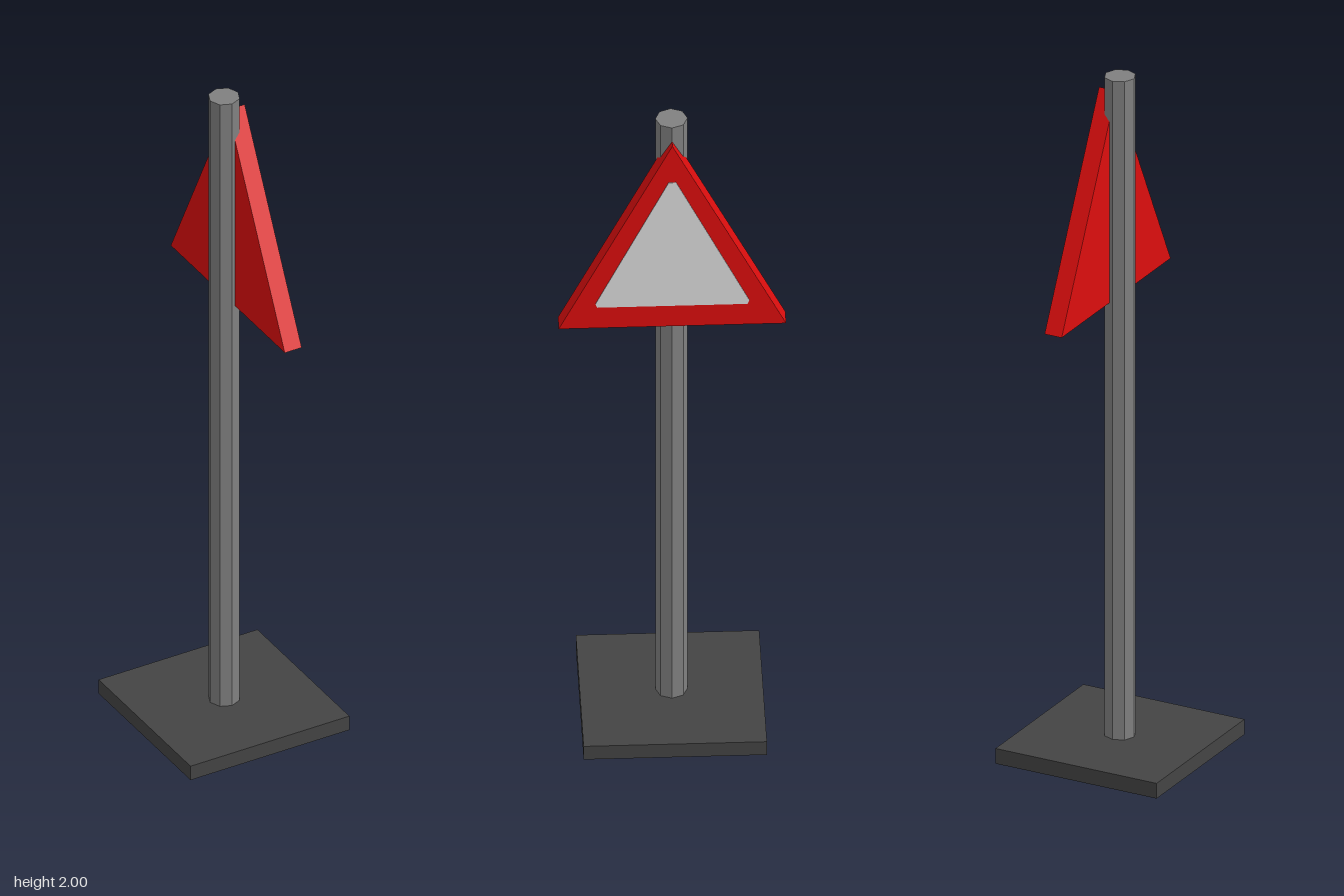
import * as THREE from 'three';

const material = (name, color) => {
  const m = new THREE.MeshStandardMaterial({ color });
  m.name = name;
  return m;
};

// Upright plate from a [z, y] outline, extruded along +x from x0 to x1
function plate(name, outline, x0, x1, mat) {
  const shape = new THREE.Shape(outline.map(([z, y]) => new THREE.Vector2(-z, y)));
  const geo = new THREE.ExtrudeGeometry(shape, { depth: x1 - x0, bevelEnabled: false });
  geo.rotateY(Math.PI / 2).translate(x0, 0, 0);
  const mesh = new THREE.Mesh(geo, mat);
  mesh.name = name;
  return mesh;
}

export function createModel() {
  const group = new THREE.Group();
  group.name = 'warningSign';

  const baseGrey = material('baseGrey', 0x444444);
  const poleGrey = material('poleGrey', 0x808080);
  poleGrey.flatShading = true;
  const signRed = material('signRed', 0xdc0e0e);
  const panelWhite = material('panelWhite', 0xdcdcdc);

  // Square foot plate
  const base = new THREE.Mesh(new THREE.BoxGeometry(0.5, 0.045, 0.5), baseGrey);
  base.name = 'base';
  base.position.y = 0.0225;

  // Eight-sided pole
  const pole = new THREE.Mesh(new THREE.CylinderGeometry(0.044, 0.044, 1.96, 8), poleGrey);
  pole.name = 'pole';
  pole.position.y = 1.02;

  // Triangular board facing +x, with a pale panel whose tips are slightly clipped
  const board = plate('signBoard', [[0.31, 1.337], [-0.31, 1.337], [0, 1.953]], 0.012, 0.065, signRed);
  const panel = plate('signPanel', [
    [0.205, 1.408], [-0.205, 1.408], [-0.21, 1.42],
    [-0.01, 1.83], [0.01, 1.83], [0.21, 1.42],
  ], 0.064, 0.067, panelWhite);

  group.add(base, pole, board, panel);
  return group;
}
